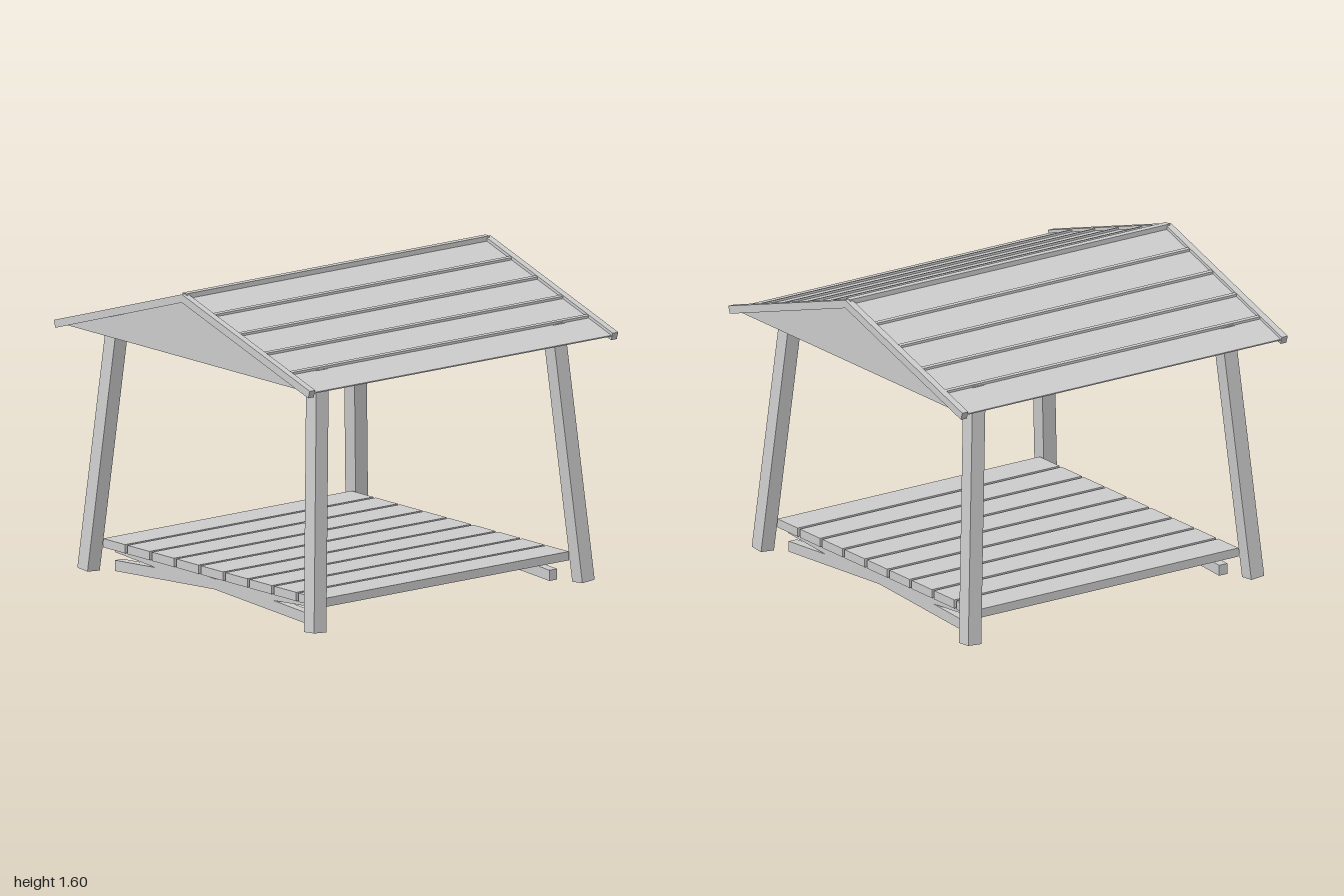
import * as THREE from 'three';

const paint = new THREE.MeshStandardMaterial({ color: 0xcccccc });
paint.name = 'plain grey';

// Extrude a list of [x, y] points along z, centred at z
function slab(name, points, depth, z = 0) {
  const shape = new THREE.Shape(points.map(([x, y]) => new THREE.Vector2(x, y)));
  const geo = new THREE.ExtrudeGeometry(shape, { depth, bevelEnabled: false });
  geo.translate(0, 0, z - depth / 2);
  const mesh = new THREE.Mesh(geo, paint);
  mesh.name = name;
  return mesh;
}

function box(name, w, h, d, x, y, z) {
  const mesh = new THREE.Mesh(new THREE.BoxGeometry(w, h, d), paint);
  mesh.name = name;
  mesh.position.set(x, y, z);
  return mesh;
}

// Complete an outline from its right half, mirrored in x
function mirrored(half) {
  const left = half.filter(([x]) => x > 0).map(([x, y]) => [-x, y]).reverse();
  return [...half, ...left];
}

// Thin roof sheet with standing seams
function roofSlope(side) {
  const top = [[0, 0]];
  for (let i = 1; i < 5; i++) {
    const a = 0.2 * i - 0.005, b = a + 0.016;
    top.push([a, 0], [a, 0.012], [b, 0.012], [b, 0]);
  }
  top.push([0.99, 0]);
  const at = (drop) => ([x, rise]) => [x * side, 1.58 - 0.313 * x + rise - drop];
  const outline = [...top.map(at(0)), ...top.map(at(0.006)).reverse()];
  return slab('roofSheet', outline, 1.93);
}

export function createModel() {
  const model = new THREE.Group();
  model.name = 'shelter';

  // Deck planks
  const deck = new THREE.Group();
  deck.name = 'deck';
  for (let i = -4; i <= 4; i++) {
    deck.add(box('deckPlank', 0.172, 0.045, 1.61, i * 0.191, 0.1375, 0));
  }
  model.add(deck);

  // Crossed bearers under the deck
  const crossHalf = [
    [0, 0.053], [0.775, 0.005], [0.775, 0.06], [0.46, 0.08],
    [0.775, 0.102], [0.775, 0.152], [0, 0.107],
  ];
  // Both centre points close the outline between the halves
  const crossOutline = mirrored(crossHalf);

  // Leaning corner posts
  const up = new THREE.Vector3(0, 1, 0);
  for (const sz of [1, -1]) {
    model.add(slab('crossBearer', crossOutline, 0.05, sz * 0.765));
    for (const sx of [1, -1]) {
      const foot = new THREE.Vector3(sx * 0.885, 0.007, sz * 0.87);
      const head = new THREE.Vector3(sx * 0.776, 1.325, sz * 0.764);
      const dir = head.clone().sub(foot);
      const mid = foot.clone().add(head).multiplyScalar(0.5);
      const post = box('post', 0.08, dir.length(), 0.08, mid.x, mid.y, mid.z);
      post.quaternion.setFromUnitVectors(up, dir.normalize());
      model.add(post);
    }
  }

  // Roof sheets and ridge cap
  const roof = new THREE.Group();
  roof.name = 'roof';
  roof.add(roofSlope(1), roofSlope(-1));
  roof.add(box('ridgeCap', 0.034, 0.026, 1.965, 0, 1.587, 0));

  // Barge boards and gable panels at both ends
  const barge = [
    [0, 1.555], [0.988, 1.245], [1, 1.283], [0, 1.597],
    [-1, 1.283], [-0.988, 1.245],
  ];
  const gable = [[-0.915, 1.27], [0.915, 1.27], [0, 1.56]];
  for (const sz of [1, -1]) {
    roof.add(slab('bargeBoard', barge, 0.036, sz * 0.982));
    roof.add(slab('gablePanel', gable, 0.014, sz * 0.978));
  }
  model.add(roof);
  return model;
}
